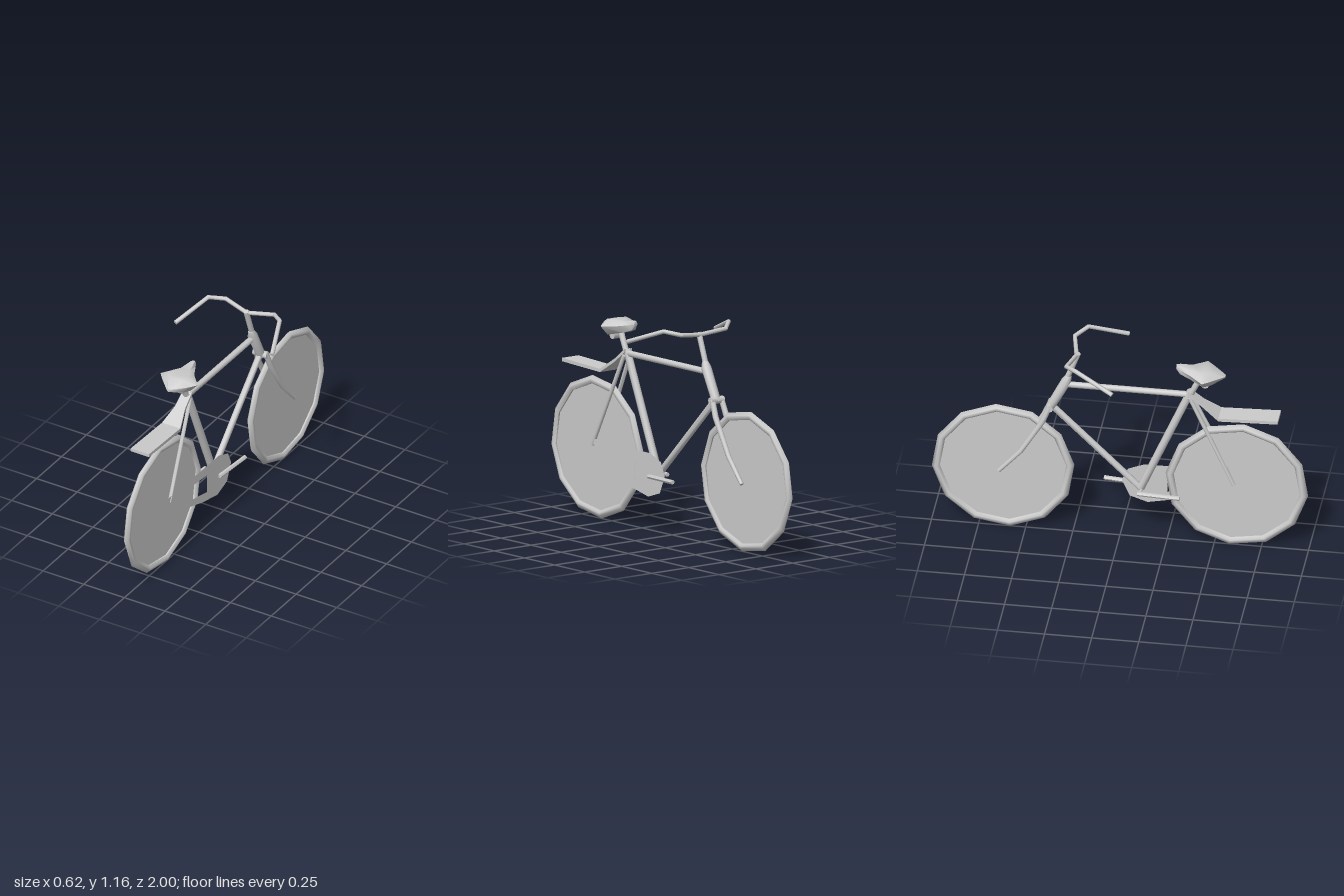
import * as THREE from 'three';
import { toCreasedNormals } from 'three/addons/utils/BufferGeometryUtils.js';

const grey = new THREE.MeshStandardMaterial({ color: 0xcccccc });
const thin = new THREE.MeshStandardMaterial({ color: 0xcccccc, side: THREE.DoubleSide });
const V = (x, y, z) => new THREE.Vector3(x, y, z);

function add(parent, name, geometry, material = grey) {
  const mesh = new THREE.Mesh(geometry, material);
  mesh.name = name;
  parent.add(mesh);
  return mesh;
}

// Skin a row of equal cross-sections and close both ends.
function loft(rings, crease = 0.9) {
  const n = rings[0].length, pos = [], idx = [];
  rings.forEach(r => r.forEach(p => pos.push(p.x, p.y, p.z)));
  for (let i = 0; i < rings.length - 1; i++) {
    for (let j = 0; j < n; j++) {
      const a = i * n + j, b = i * n + (j + 1) % n;
      idx.push(a, b, b + n, a, b + n, a + n);
    }
  }
  const last = (rings.length - 1) * n;
  for (let j = 1; j < n - 1; j++) {
    idx.push(0, j + 1, j, last, last + j, last + j + 1);
  }
  const g = new THREE.BufferGeometry();
  g.setAttribute('position', new THREE.Float32BufferAttribute(pos, 3));
  g.setIndex(idx);
  return toCreasedNormals(g, crease);
}

// Mitred tube through points; one radius or one per point.
function pipe(points, radius, sides = 8) {
  return loft(points.map((p, i) => {
    const before = points[Math.max(i - 1, 0)], after = points[Math.min(i + 1, points.length - 1)];
    const t = V(0, 0, 0);
    if (before !== p) t.add(p.clone().sub(before).normalize());
    if (after !== p) t.add(after.clone().sub(p).normalize());
    t.normalize();
    const up = Math.abs(t.y) > 0.95 ? V(0, 0, 1) : V(0, 1, 0);
    const u = up.cross(t).normalize(), v = t.clone().cross(u);
    const r = Array.isArray(radius) ? radius[i] : radius;
    return Array.from({ length: sides }, (_, j) => {
      const a = j / sides * Math.PI * 2;
      return p.clone().addScaledVector(u, r * Math.cos(a)).addScaledVector(v, r * Math.sin(a));
    });
  }));
}

function makeWheel(name, z, turn) {
  const wheel = new THREE.Group();
  wheel.name = name;
  const profile = [[0.337, -0.008], [0.35, -0.017], [0.363, -0.015], [0.38, 0],
    [0.363, 0.015], [0.35, 0.017], [0.337, 0.008], [0.337, -0.008]];
  const tyre = new THREE.LatheGeometry(profile.map(p => new THREE.Vector2(...p)), 12, turn);
  tyre.rotateZ(Math.PI / 2);
  add(wheel, 'tyre', tyre);
  const disc = new THREE.CircleGeometry(0.338, 12, -turn).rotateY(Math.PI / 2);
  add(wheel, 'wheelDisc', disc, thin);
  wheel.position.set(0, 0.382, z);
  return wheel;
}

function makeFrame() {
  const frame = new THREE.Group();
  frame.name = 'frame';
  const bracket = V(0, 0.31, 0.11);
  add(frame, 'topTube', pipe([V(0, 0.92, 0.37), V(0, 0.92, -0.3)], 0.017));
  add(frame, 'seatTube', pipe([V(0, 0.94, 0.375), bracket], 0.021));
  add(frame, 'downTube', pipe([V(0, 0.78, -0.36), bracket], 0.018));
  add(frame, 'headTube', pipe([V(0, 0.975, -0.272), V(0, 0.94, -0.285), V(0, 0.77, -0.37)],
    [0.016, 0.027, 0.025]));
  add(frame, 'seatPost', pipe([V(0, 0.92, 0.375), V(0, 1.04, 0.43)], 0.016));
  for (const s of [1, -1]) {
    add(frame, 'seatStay', pipe([V(s * 0.02, 0.91, 0.372), V(s * 0.04, 0.4, 0.61)], 0.011));
  }
  return frame;
}

function makeFrontEnd() {
  const front = new THREE.Group();
  front.name = 'steering';
  add(front, 'stem', pipe([V(0, 0.96, -0.28), V(0, 1.12, -0.222)], 0.015));
  add(front, 'forkCrown', pipe([V(-0.042, 0.78, -0.37), V(0.042, 0.78, -0.37)], 0.02));
  for (const s of [1, -1]) {
    add(front, 'forkLeg', pipe([V(s * 0.03, 0.79, -0.37), V(s * 0.036, 0.7, -0.405),
      V(s * 0.041, 0.505, -0.52), V(s * 0.046, 0.375, -0.635)], [0.015, 0.016, 0.013, 0.011]));
  }
  const half = [[0.15, 1.128, -0.262], [0.22, 1.148, -0.2], [0.298, 1.073, 0.003]];
  const left = half.map(p => V(...p));
  const right = half.map(([x, y, z]) => V(-x, y, z)).reverse();
  add(front, 'handlebar', pipe([...right, V(0, 1.108, -0.23), ...left], 0.012));
  return front;
}

function makeSaddle() {
  const saddle = new THREE.Group();
  saddle.name = 'saddle';
  // z, half width, bottom, side height, top, share of the width that is flat on top
  const sections = [[0.3, 0.012, 1.075, 1.085, 1.098], [0.32, 0.022, 1.05, 1.08, 1.1],
    [0.38, 0.05, 1.03, 1.068, 1.09], [0.45, 0.115, 1.015, 1.064, 1.095],
    [0.49, 0.08, 1.018, 1.06, 1.09], [0.56, 0.008, 1.045, 1.053, 1.06]];
  add(saddle, 'seat', loft(sections.map(([z, w, low, mid, top]) => [
    V(w, mid, z), V(w * 0.52, top, z), V(-w * 0.52, top, z),
    V(-w, mid, z), V(-w * 0.6, low, z), V(w * 0.6, low, z)])));
  add(saddle, 'saddleClamp', pipe([V(-0.035, 1.008, 0.455), V(0.035, 1.008, 0.455)], 0.022));
  return saddle;
}

function makeDrive() {
  const drive = new THREE.Group();
  drive.name = 'drive';
  // Flat chain guard with a long slot, drawn as (-z, y)
  const trace = (path, pts) => path.setFromPoints(pts.map(([z, y]) => new THREE.Vector2(-z, y)));
  const outline = trace(new THREE.Shape(), [[0.705, 0.39], [0.695, 0.42], [0.66, 0.438], [0.29, 0.428],
    [0.125, 0.428], [0.035, 0.392], [0.003, 0.32], [0.045, 0.225], [0.14, 0.193], [0.29, 0.225],
    [0.655, 0.345], [0.695, 0.365]]);
  outline.holes.push(trace(new THREE.Path(), [[0.665, 0.385], [0.635, 0.407], [0.245, 0.37],
    [0.245, 0.267], [0.645, 0.355]]));
  const guard = new THREE.ShapeGeometry(outline).rotateY(Math.PI / 2);
  add(drive, 'chainGuard', guard, thin).position.x = 0.046;
  add(drive, 'crankAxle', pipe([V(-0.05, 0.307, 0.115), V(0.053, 0.307, 0.115)], 0.008));
  // Cranks point opposite ways
  for (const s of [1, -1]) {
    add(drive, 'crank', pipe([V(s * 0.052, 0.304, 0.115 + s * 0.015),
      V(s * 0.072, 0.308, 0.115 - s * 0.21)], 0.012, 6));
  }
  return drive;
}

export function createModel() {
  const bicycle = new THREE.Group();
  bicycle.name = 'bicycle';
  bicycle.add(makeWheel('rearWheel', 0.62, -0.1), makeWheel('frontWheel', -0.62, 0.1));
  bicycle.add(makeFrame(), makeFrontEnd(), makeSaddle(), makeDrive());

  // Rear rack: a narrow neck that dips and widens into a flat plate
  const rack = [[0.365, 0.935, 0.027], [0.44, 0.875, 0.03], [0.53, 0.81, 0.056], [0.845, 0.821, 0.056]];
  add(bicycle, 'rearRack', loft(rack.map(([z, y, w]) => [
    V(w, y - 0.009, z), V(w, y + 0.009, z), V(-w, y + 0.009, z), V(-w, y - 0.009, z)]), 0.4));
  return bicycle;
}
